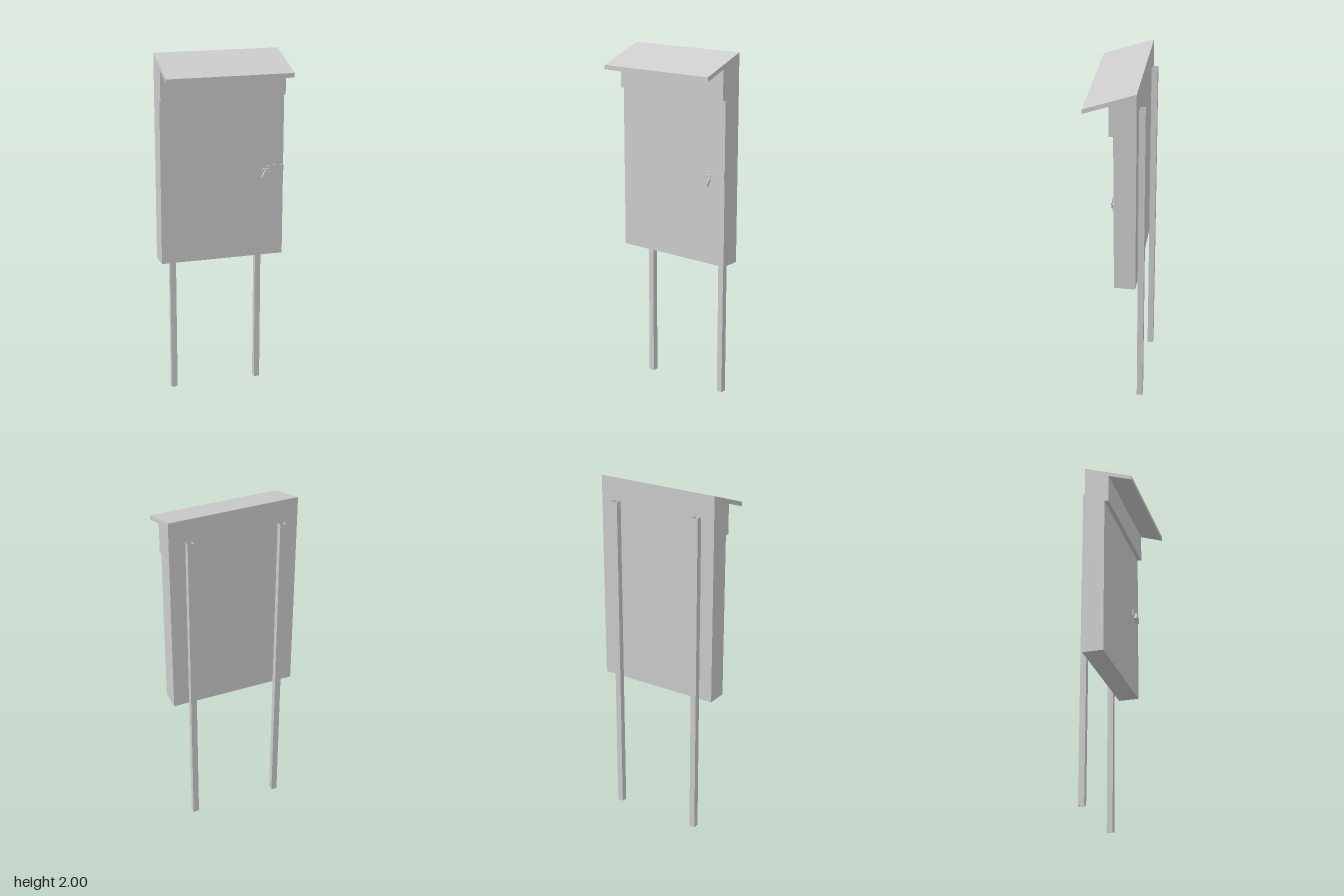
import * as THREE from 'three';

const steel = new THREE.MeshStandardMaterial({ color: 0xcccccc, side: THREE.DoubleSide });
steel.name = 'steelGrey';

function add(parent, name, geometry, x = 0, y = 0, z = 0) {
  const mesh = new THREE.Mesh(geometry, steel);
  mesh.name = name;
  mesh.position.set(x, y, z);
  parent.add(mesh);
  return mesh;
}

// Side profile (z, y) of case, header and sloping roof, swept across the width
function cabinetGeometry(width) {
  const profile = [
    [-0.122, 0.825], [-0.003, 0.825], [-0.003, 1.757], [0.021, 1.757],
    [0.021, 1.924], [0.157, 1.875], [0.157, 1.9], [-0.122, 2],
  ];
  const shape = new THREE.Shape(profile.map(([z, y]) => new THREE.Vector2(z, y)));
  const geometry = new THREE.ExtrudeGeometry(shape, { depth: width, bevelEnabled: false });
  return geometry.translate(0, 0, -width / 2).rotateY(-Math.PI / 2);
}

// Open-ended square tube made of thin sheet
function postGeometry(size, height) {
  const tube = new THREE.CylinderGeometry(size / Math.SQRT2, size / Math.SQRT2, height, 4, 1, true);
  const geometry = tube.rotateY(Math.PI / 4).toNonIndexed();
  geometry.computeVertexNormals();
  return geometry;
}

export function createModel() {
  const model = new THREE.Group();
  model.name = 'cabinetOnPosts';

  add(model, 'cabinet', cabinetGeometry(0.717));

  // Two posts behind the case
  for (const [name, x] of [['rightPost', -0.263], ['leftPost', 0.252]]) {
    add(model, name, postGeometry(0.034, 1.875), x, 0.9375, -0.14);
  }

  // Hasp strap and the staple it closes over
  const latch = new THREE.Group();
  latch.name = 'latch';
  model.add(latch);
  add(latch, 'hasp', new THREE.BoxGeometry(0.125, 0.037, 0.005), 0.296, 1.336, 0);
  const staple = add(latch, 'staple', new THREE.TorusGeometry(0.013, 0.003, 6, 12, Math.PI), 0.262, 1.336, 0.002);
  staple.rotation.set(Math.PI / 2, 0, Math.PI / 2);
  staple.scale.y = 1.8;

  // Padlock hanging at a tilt
  const padlock = new THREE.Group();
  padlock.name = 'padlock';
  padlock.position.set(0.25, 1.302, 0.016);
  padlock.rotation.z = -0.48;
  latch.add(padlock);
  add(padlock, 'padlockBody', new THREE.BoxGeometry(0.036, 0.044, 0.014));
  add(padlock, 'shackle', new THREE.TorusGeometry(0.011, 0.003, 6, 12, Math.PI), 0, 0.03, 0);
  for (const side of [-1, 1]) {
    add(padlock, 'shackleLeg', new THREE.CylinderGeometry(0.003, 0.003, 0.01, 6), side * 0.011, 0.026, 0);
  }

  return model;
}
